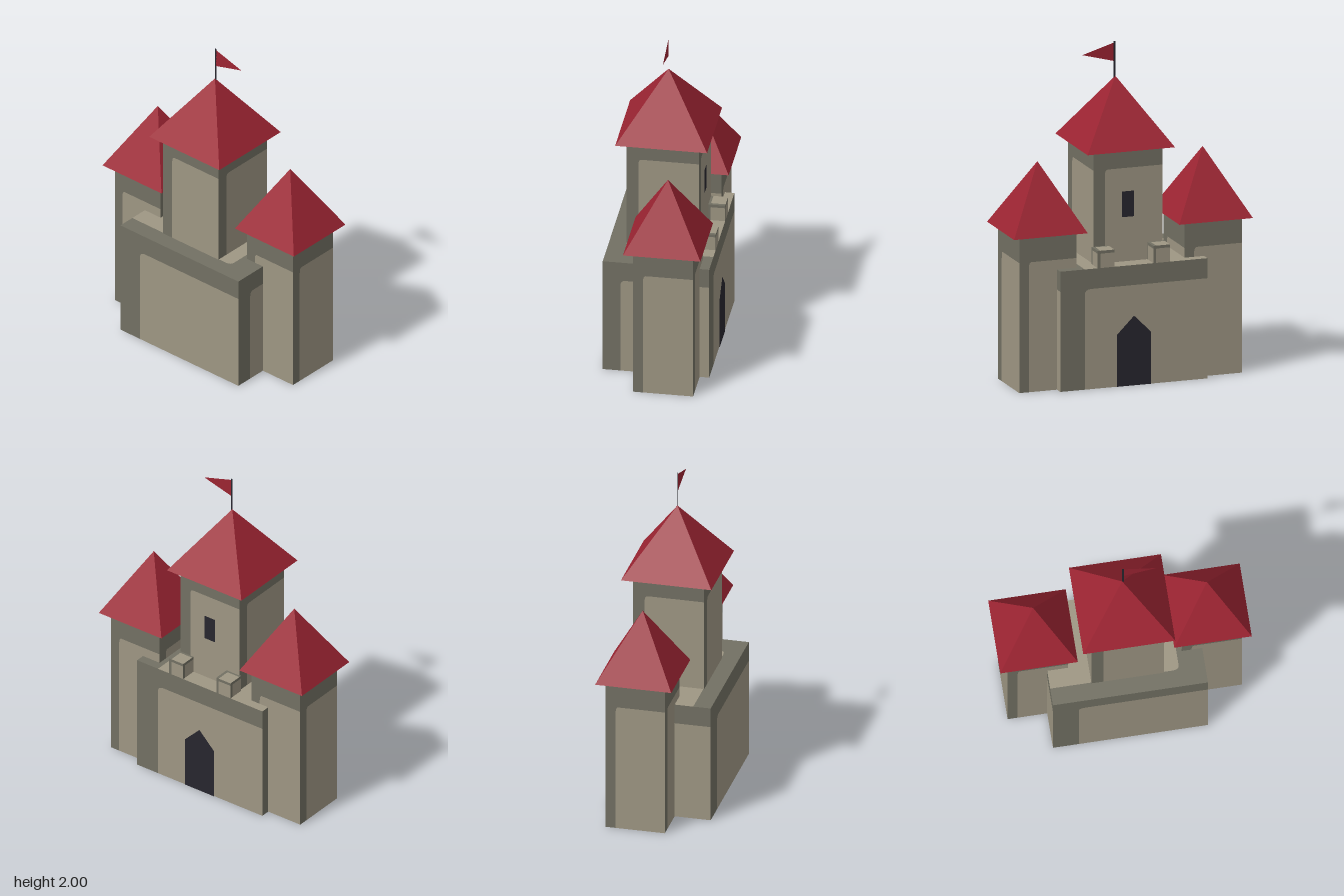
import * as THREE from 'three';
import { mergeGeometries } from 'three/addons/utils/BufferGeometryUtils.js';

const material = (name, color, side = THREE.DoubleSide) =>
  new THREE.MeshStandardMaterial({ name, color, side });

// One unit wall face: a light panel with a darker band along its left and top edges
function unitFace() {
  const a = 1 / 6 - 0.5, b = 5 / 6 - 0.5, r = 0.045;
  const light = new THREE.Shape();
  light.moveTo(a, -0.5);
  light.lineTo(0.5, -0.5);
  light.lineTo(0.5, b);
  light.lineTo(a + r, b);
  light.quadraticCurveTo(a, b, a, b - r);
  const dark = new THREE.Shape();
  dark.moveTo(-0.5, -0.5);
  dark.lineTo(a, -0.5);
  dark.lineTo(a, b - r);
  dark.quadraticCurveTo(a, b, a + r, b);
  dark.lineTo(0.5, b);
  dark.lineTo(0.5, 0.5);
  dark.lineTo(-0.5, 0.5);
  return mergeGeometries([light, dark].map((s) => new THREE.ShapeGeometry(s, 4)), true);
}

export function createModel() {
  const castle = new THREE.Group();
  castle.name = 'castle';

  const lightStone = material('light stone', 0x9e9683);
  const darkStone = material('dark stone', 0x727063);
  const roofRed = material('roof red', 0x9c2432);
  const darkOpening = material('dark opening', 0x27262e);
  const face = unitFace();

  function add(name, geometry, mat, x = 0, y = 0, z = 0, parent = castle) {
    const mesh = new THREE.Mesh(geometry, mat);
    mesh.name = name;
    mesh.position.set(x, y, z);
    parent.add(mesh);
    return mesh;
  }

  // Stone box, open underneath: four banded walls and a banded top
  function stoneBlock(name, w, h, d, x, y, z) {
    const block = new THREE.Group();
    block.name = name;
    block.position.set(x, y, z);
    castle.add(block);
    const stone = [lightStone, darkStone];
    for (let i = 0; i < 4; i++) {
      const [across, out] = i % 2 ? [d, w / 2] : [w, d / 2];
      const angle = (i * Math.PI) / 2;
      const wall = add('wall', face, stone, Math.sin(angle) * out, h / 2, Math.cos(angle) * out, block);
      wall.rotation.y = angle;
      wall.scale.set(across, h, 1);
    }
    const top = add('top', face, stone, 0, h, 0, block);
    top.rotation.set(-Math.PI / 2, 0, Math.PI);
    top.scale.set(w, d, 1);
  }

  // Four-sided roof standing on its eaves
  function roof(name, half, height, x, y, z) {
    const g = new THREE.ConeGeometry(half * Math.SQRT2, height, 4).toNonIndexed();
    g.rotateY(Math.PI / 4);
    g.computeVertexNormals();
    add(name, g, roofRed, x, y + height / 2, z);
  }

  // Gatehouse and central keep
  stoneBlock('gatehouse', 0.916, 0.725, 0.63, 0, 0, 0);
  stoneBlock('keep', 0.43, 0.675, 0.43, 0, 0.725, 0);
  roof('keepRoof', 0.272, 0.39, 0, 1.4, 0);

  // Side towers and battlements
  for (const side of [-1, 1]) {
    stoneBlock('sideTower', 0.356, 0.94, 0.356, side * 0.514, 0, -0.08);
    roof('sideTowerRoof', 0.229, 0.4, side * 0.514, 0.94, -0.08);
    stoneBlock('battlement', 0.104, 0.104, 0.104, side * 0.173, 0.725, -0.263);
  }

  // Pointed doorway and keep window, both on the back walls
  const arch = new THREE.Shape([
    [-0.105, 0], [0.105, 0], [0.105, 0.315], [0, 0.42], [-0.105, 0.315],
  ].map(([x, y]) => new THREE.Vector2(x, y)));
  add('door', new THREE.ShapeGeometry(arch), darkOpening, 0, 0, -0.318).rotation.y = Math.PI;
  add('window', new THREE.PlaneGeometry(0.075, 0.155), darkOpening, 0, 1.07, -0.218).rotation.y = Math.PI;

  // Flat flagpole and pennant
  add('flagpole', new THREE.PlaneGeometry(0.011, 0.22), darkOpening, 0.005, 1.89, 0);
  const pennant = new THREE.Shape([
    [0.01, 1.88], [0.205, 1.932], [0.01, 1.99],
  ].map(([x, y]) => new THREE.Vector2(x, y)));
  add('flag', new THREE.ShapeGeometry(pennant), roofRed);

  return castle;
}
